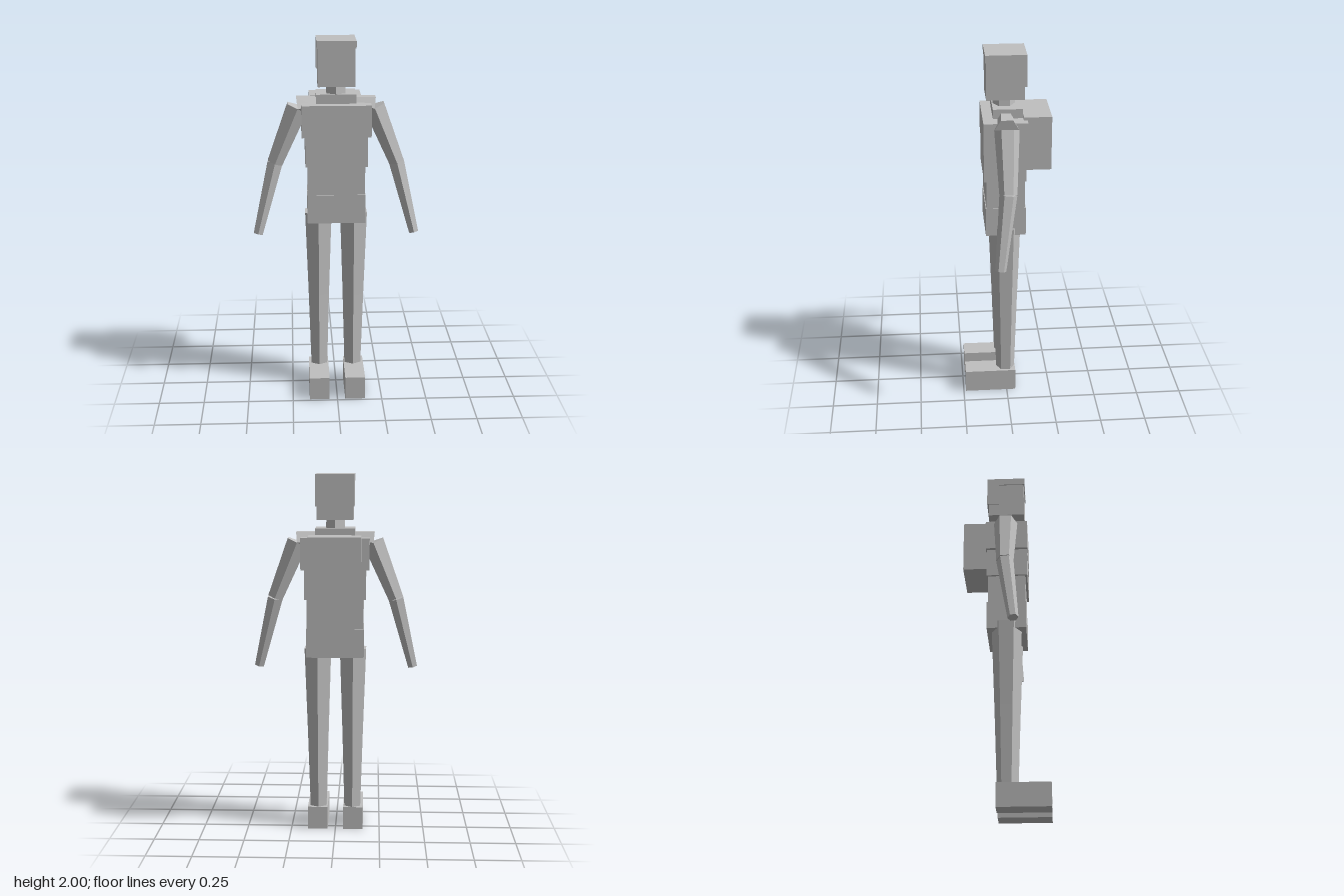
import * as THREE from 'three';

const grey = new THREE.MeshStandardMaterial({ color: 0xc0c0c0, flatShading: true });
grey.name = 'plain grey';

export function createModel() {
  const model = new THREE.Group();
  model.name = 'blockFigure';

  // Box given by its extents on each axis
  function box(name, x0, x1, y0, y1, z0, z1) {
    const mesh = new THREE.Mesh(new THREE.BoxGeometry(x1 - x0, y1 - y0, z1 - z0), grey);
    mesh.position.set((x0 + x1) / 2, (y0 + y1) / 2, (z0 + z1) / 2);
    mesh.name = name;
    model.add(mesh);
  }

  // Tapered six-sided limb running from point a (radius ra) to point b (radius rb)
  const up = new THREE.Vector3(0, 1, 0);
  function limb(name, a, ra, b, rb) {
    const start = new THREE.Vector3(...a), end = new THREE.Vector3(...b);
    const axis = start.clone().sub(end);
    const mesh = new THREE.Mesh(new THREE.CylinderGeometry(ra, rb, axis.length(), 6), grey);
    mesh.position.copy(start).add(end).multiplyScalar(0.5);
    mesh.quaternion.setFromUnitVectors(up, axis.normalize());
    mesh.name = name;
    model.add(mesh);
  }

  // Head with a cap of hair on top and down the back
  box('head', -0.099, 0.099, 1.757, 1.99, -0.098, 0.104);
  box('hairTop', -0.105, 0.105, 1.96, 2, -0.109, 0.108);
  box('hairBack', -0.105, 0.105, 1.83, 1.96, -0.109, -0.04);

  // Neck and torso
  limb('neck', [0, 1.775, 0.005], 0.055, [0, 1.69, 0.005], 0.061);
  box('collar', -0.108, 0.108, 1.64, 1.71, -0.088, 0.07);
  box('chest', -0.187, 0.187, 1.487, 1.66, -0.109, 0.124);
  box('ribs', -0.168, 0.168, 1.325, 1.487, -0.104, 0.122);
  box('waist', -0.155, 0.155, 1.16, 1.325, -0.097, 0.11);
  box('pelvis', -0.158, 0.158, 1.005, 1.165, -0.103, 0.114);
  box('backpack', -0.142, 0.142, 1.38, 1.675, -0.238, -0.09);

  // Arms, legs and feet, mirrored
  for (const [side, s] of [['left', 1], ['right', -1]]) {
    const shoulder = [0.207 * s, 1.632, 0.004];
    const elbow = [0.333 * s, 1.323, 0.006];
    const hip = [0.098 * s, 1.045, 0.005];
    const knee = [0.097 * s, 0.56, 0.005];
    limb(side + 'Shoulder', [0.1 * s, 1.645, 0.003], 0.05, shoulder, 0.064);
    limb(side + 'UpperArm', shoulder, 0.066, elbow, 0.047);
    limb(side + 'Forearm', elbow, 0.047, [0.431 * s, 0.931, 0.053], 0.029);
    limb(side + 'Thigh', hip, 0.084, knee, 0.066);
    limb(side + 'Shin', knee, 0.066, [0.096 * s, 0.12, 0.005], 0.052);
    const x = 0.1 * s;
    box(side + 'Foot', x - 0.056, x + 0.056, 0, 0.13, -0.05, 0.237);
  }
  return model;
}
